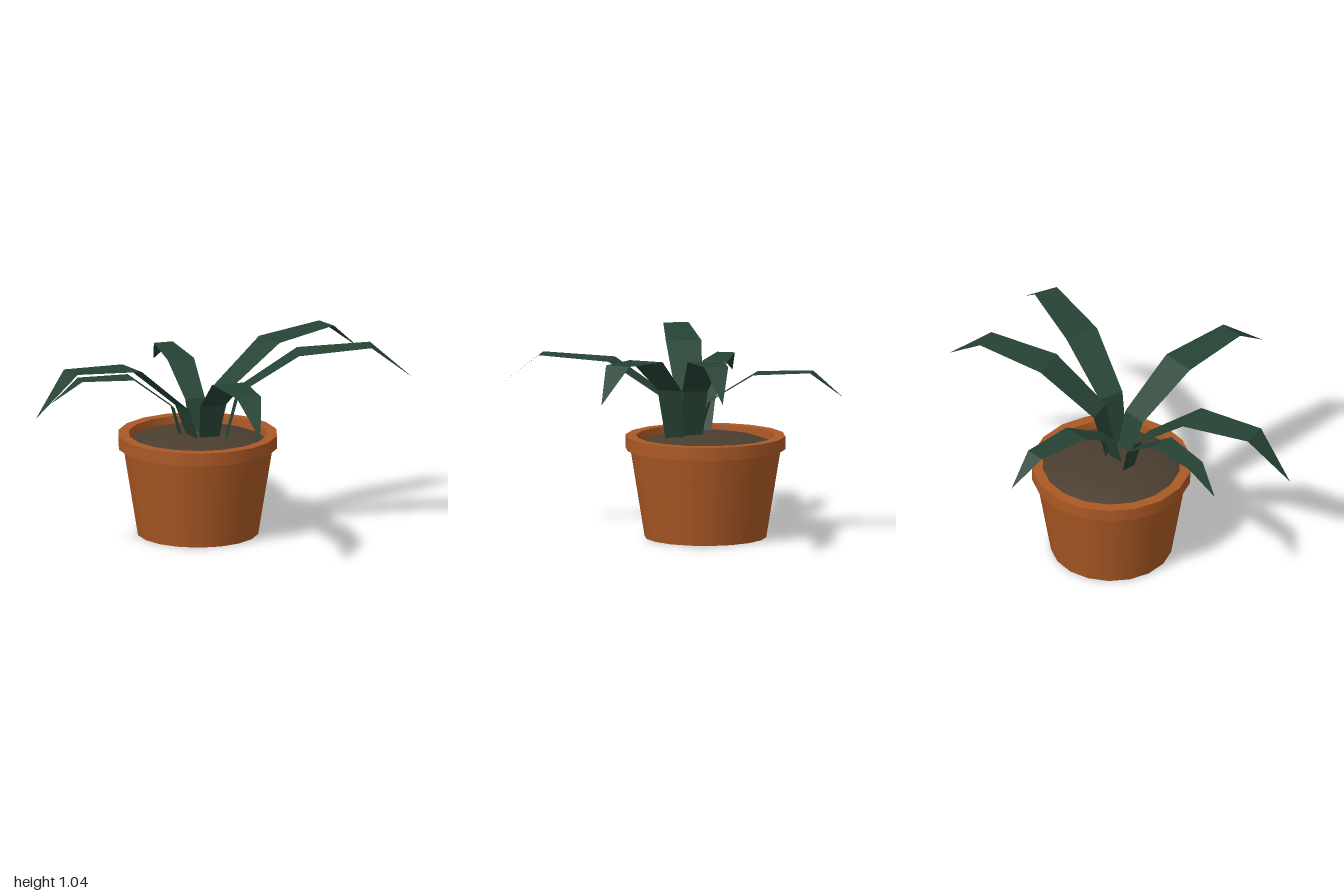
import * as THREE from 'three';

const SIDES = 18;

const terracotta = new THREE.MeshStandardMaterial({ color: 0xac5925 });
terracotta.name = 'terracotta';
const soilBrown = new THREE.MeshStandardMaterial({ color: 0x4b3e30 });
soilBrown.name = 'soil brown';
const leafGreen = new THREE.MeshStandardMaterial({ color: 0x264334, side: THREE.DoubleSide });
leafGreen.name = 'leaf green';

function turned(name, points, material) {
  const profile = points.map(([r, y]) => new THREE.Vector2(r, y));
  const mesh = new THREE.Mesh(new THREE.LatheGeometry(profile, SIDES), material);
  mesh.name = name;
  return mesh;
}

// Flat strip leaf: rises from the base, arches over and droops to a point.
const REACH = [0, 0.08, 0.395, 0.78, 1]; // share of the length, base to tip
const HALF_WIDTH = [0.052, 0.07, 0.094, 0.067, 0]; // share of the length

function leafGeometry([bx, bz], [tx, tz], heights) {
  const dx = tx - bx, dz = tz - bz;
  const positions = [], index = [];
  REACH.forEach((t, i) => {
    const w = HALF_WIDTH[i];
    for (const s of [-1, 1]) {
      positions.push(bx + dx * t - s * dz * w, heights[i], bz + dz * t + s * dx * w);
    }
    if (i === 0) return;
    const a = 2 * i - 2;
    index.push(a, a + 1, a + 2);
    if (w > 0) index.push(a + 1, a + 3, a + 2);
  });
  const indexed = new THREE.BufferGeometry();
  indexed.setAttribute('position', new THREE.Float32BufferAttribute(positions, 3));
  indexed.setIndex(index);
  const geometry = indexed.toNonIndexed(); // crisp folds
  geometry.computeVertexNormals();
  return geometry;
}

// base x/z, tip x/z, heights from base to tip
const LEAVES = [
  ['backLeaf', [-0.075, -0.05], [0.19, -0.995], [0.5, 0.8, 1.01, 1.04, 0.87]],
  ['backLeftLeaf', [0.02, -0.04], [0.77, -0.71], [0.5, 0.81, 1.015, 1.045, 0.865]],
  ['frontLeftLeaf', [-0.05, 0.0], [0.757, 0.585], [0.5, 0.74, 0.945, 0.965, 0.79]],
  ['frontLeaf', [-0.11, 0.04], [-0.44, 0.995], [0.5, 0.72, 0.985, 1.02, 0.795]],
  ['frontRightLeaf', [-0.185, 0.05], [-0.625, 0.625], [0.5, 0.71, 0.885, 0.89, 0.77]],
  ['backRightLeaf', [-0.125, -0.01], [-0.775, -0.45], [0.5, 0.73, 0.885, 0.9, 0.765]],
];

export function createModel() {
  const model = new THREE.Group();
  model.name = 'pottedPlant';

  // Pot: each wall is turned separately so the rims stay sharp
  const pot = new THREE.Group();
  pot.name = 'pot';
  pot.position.set(-0.155, 0, -0.04);
  const walls = [
    ['potBottom', [0, 0], [0.325, 0]],
    ['potWall', [0.325, 0], [0.402, 0.475]],
    ['rimUnderside', [0.402, 0.475], [0.427, 0.475]],
    ['rimOutside', [0.427, 0.475], [0.427, 0.545]],
    ['rimTop', [0.427, 0.545], [0.37, 0.545]],
    ['rimInside', [0.37, 0.545], [0.365, 0.47]],
  ];
  for (const [name, from, to] of walls) pot.add(turned(name, [from, to], terracotta));

  // Gently domed soil
  pot.add(turned('soil', [[0.367, 0.5], [0.28, 0.53], [0.17, 0.55], [0, 0.562]], soilBrown));
  model.add(pot);

  // Leaves
  const leaves = new THREE.Group();
  leaves.name = 'leaves';
  for (const [name, base, tip, heights] of LEAVES) {
    const leaf = new THREE.Mesh(leafGeometry(base, tip, heights), leafGreen);
    leaf.name = name;
    leaves.add(leaf);
  }
  model.add(leaves);
  return model;
}
